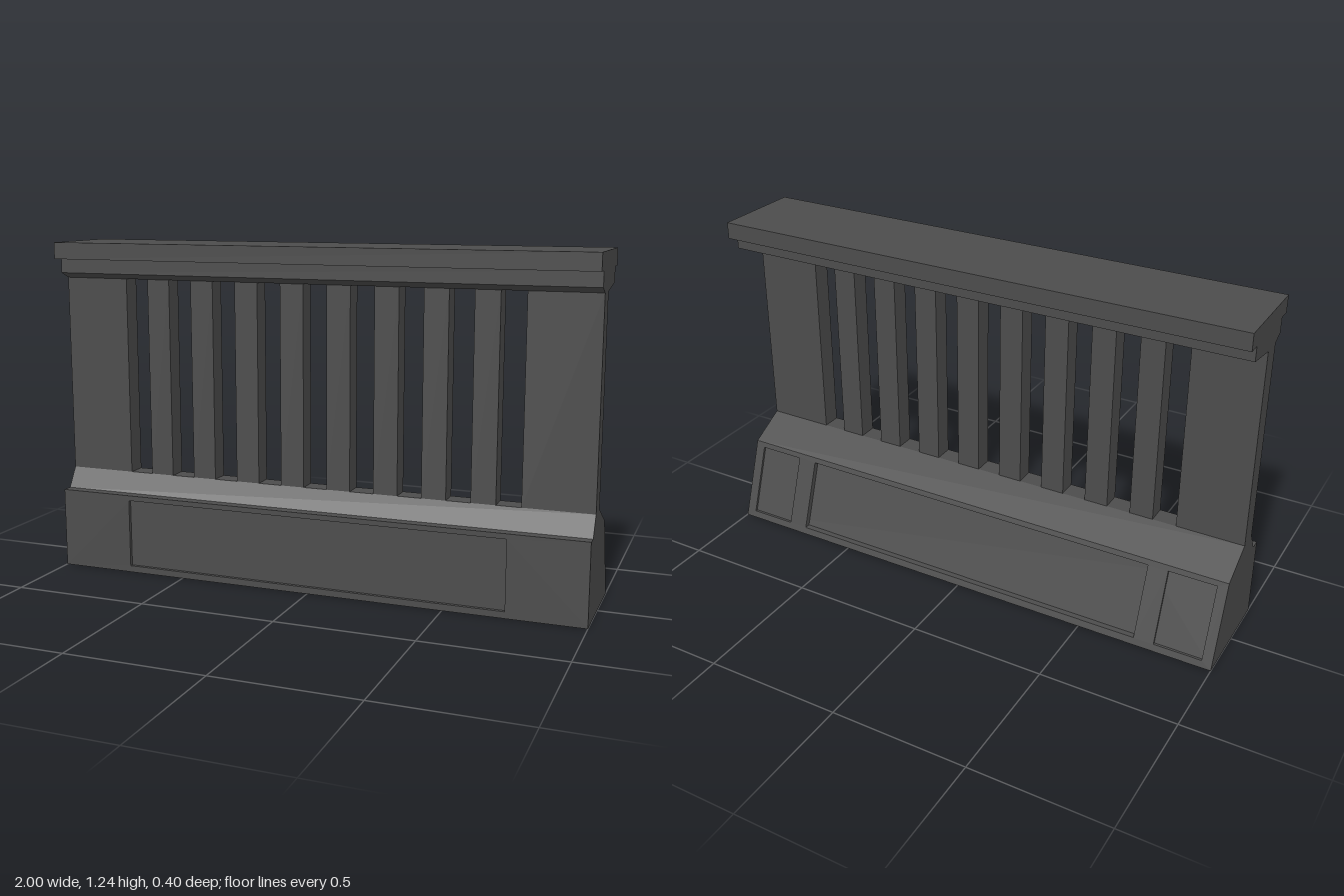
import * as THREE from 'three';

const material = new THREE.MeshStandardMaterial({ color: 0x4c4c4c, flatShading: true });
const LENGTH = 2, BASE_TOP = 0.297, LEAN = 0.105 / BASE_TOP;

function add(parent, name, geometry) {
  const mesh = new THREE.Mesh(geometry, material);
  mesh.name = name;
  parent.add(mesh);
  return mesh;
}

// Sweeps a (z, y) cross-section along the full length in x
function sweep(points) {
  const shape = new THREE.Shape(points.map(([z, y]) => new THREE.Vector2(z, y)));
  return new THREE.ExtrudeGeometry(shape, { depth: LENGTH, bevelEnabled: false })
    .rotateY(-Math.PI / 2)
    .translate(LENGTH / 2, 0, 0);
}

// Facing layer with panel openings [x0, x1], leaning by z += lean * y
function facing(openings, z, thickness, lean) {
  const rect = (path, x0, x1, y0, y1) =>
    path.moveTo(x0, y0).lineTo(x1, y0).lineTo(x1, y1).lineTo(x0, y1).closePath();
  const shape = new THREE.Shape();
  rect(shape, -LENGTH / 2, LENGTH / 2, 0, BASE_TOP);
  for (const [x0, x1] of openings) {
    const hole = new THREE.Path();
    rect(hole, x0, x1, 0.024, 0.278);
    shape.holes.push(hole);
  }
  const geometry = new THREE.ExtrudeGeometry(shape, { depth: thickness, bevelEnabled: false });
  const p = geometry.attributes.position;
  for (let i = 0; i < p.count; i++) p.setZ(i, p.getZ(i) + z + lean * p.getY(i));
  geometry.computeVertexNormals();
  return geometry;
}

export function createModel() {
  const model = new THREE.Group();
  model.name = 'balustrade';

  // Plinth: core set back behind the recessed panels
  const base = new THREE.Group();
  base.name = 'base';
  model.add(base);
  const frontZ = 0.193, front = 0.013, shallow = 0.009, deep = 0.013;
  const back = shallow + deep;
  add(base, 'baseCore', sweep([
    [-0.2 + back, 0], [frontZ - front, 0], [frontZ - front, BASE_TOP], [0.155, BASE_TOP],
    [0.112, 0.37], [0.04, 0.37], [-0.095, BASE_TOP], [-0.095 + back, BASE_TOP],
  ]));

  // Front has one long panel; the sloped back has a deep one between two shallow ones
  const longBack = [-0.71, 0.71];
  add(base, 'frontFacing', facing([[-0.72, 0.72]], frontZ - front, front, 0));
  add(base, 'backFacingInner', facing([longBack], -0.2 + shallow, deep, LEAN));
  add(base, 'backFacingOuter',
    facing([[-0.962, -0.785], longBack, [0.785, 0.962]], -0.2, shallow, LEAN));

  // End posts and evenly spaced balusters
  const bottom = 0.37, top = 1.102, depth = 0.072, z = 0.076;
  const upright = (name, x, width) =>
    add(model, name, new THREE.BoxGeometry(width, top - bottom, depth))
      .position.set(x, (top + bottom) / 2, z);
  upright('leftPost', 0.875, 0.25);
  upright('rightPost', -0.875, 0.25);
  const unit = 1.5 / 17;
  for (let i = 0; i < 8; i++) upright('baluster', -0.75 + unit * (2 * i + 1.5), unit);

  // Handrail with stepped, bevelled underside
  add(model, 'handrail', sweep([
    [0.04, top], [0.112, top], [0.155, 1.122], [0.155, 1.175], [0.2, 1.175], [0.2, 1.236],
    [-0.142, 1.236], [-0.142, 1.175], [-0.095, 1.175], [-0.095, 1.122],
  ]));

  return model;
}
